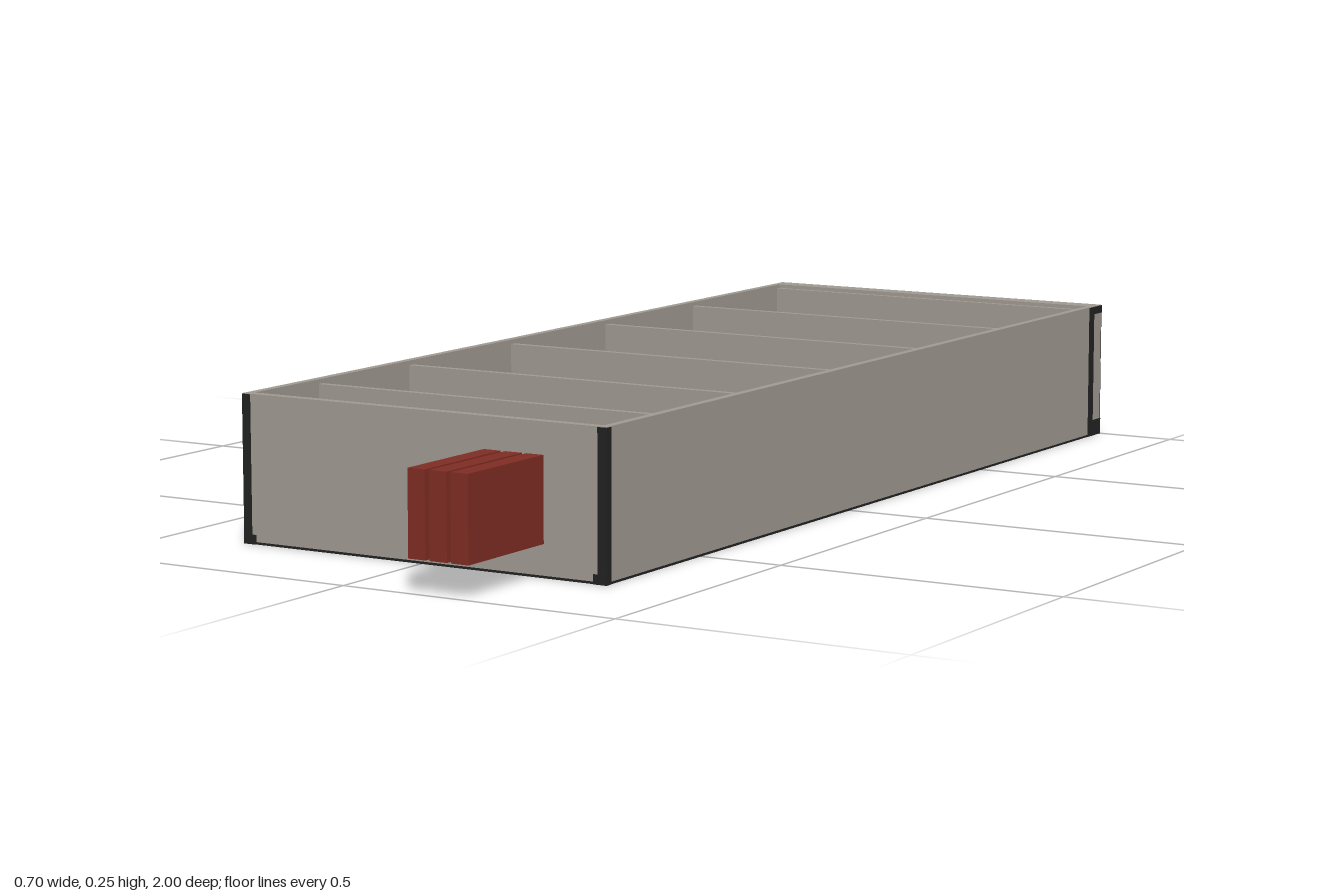
import * as THREE from 'three';

export function createModel() {
  const model = new THREE.Group();
  const grey = new THREE.MeshStandardMaterial({ color: 0xa09a91 });
  grey.name = 'warm grey';
  const dark = new THREE.MeshStandardMaterial({ color: 0x222222 });
  dark.name = 'charcoal';
  const red = new THREE.MeshStandardMaterial({ color: 0x7e2d23 });
  red.name = 'brick red';

  // Box given by its minimum and maximum along each axis
  function box(name, material, x0, x1, y0, y1, z0, z1, parent = model) {
    const mesh = new THREE.Mesh(new THREE.BoxGeometry(x1 - x0, y1 - y0, z1 - z0), material);
    mesh.position.set((x0 + x1) / 2, (y0 + y1) / 2, (z0 + z1) / 2);
    mesh.name = name;
    parent.add(mesh);
    return mesh;
  }

  // Cabinet lying on its back
  box('backPanel', grey, -0.338, 0.338, 0.004, 0.012, -0.96, 0.775);
  box('backPanelUnderside', dark, -0.352, 0.352, 0, 0.004, -1, 0.788);
  for (const s of [-1, 1]) {
    const a = s * 0.338, b = s * 0.352;
    box('sidePanel', grey, Math.min(a, b), Math.max(a, b), 0.004, 0.25, -0.998, 0.787);
    const p = s * 0.336, q = s * 0.352;
    box('frontEdge', dark, Math.min(p, q), Math.max(p, q), 0, 0.249, 0.787, 0.789);
    box('backEdge', dark, Math.min(p, q), Math.max(p, q), 0, 0.249, -1, -0.998);
    const c = s * 0.328;
    box('cornerFoot', dark, Math.min(c, q), Math.max(c, q), 0, 0.016, 0.785, 0.79);
  }
  box('topPanel', grey, -0.338, 0.338, 0.004, 0.25, 0.772, 0.788);

  // Recessed base with a dark kick board
  box('bottomShelf', grey, -0.338, 0.338, 0.012, 0.243, -0.965, -0.952);
  box('kickBoard', dark, -0.338, 0.338, 0.004, 0.236, -0.973, -0.965);
  box('baseRail', grey, -0.338, 0.338, 0.236, 0.25, -0.998, -0.962);
  box('baseRailFace', dark, -0.338, 0.338, 0.234, 0.249, -1, -0.998);
  box('baseRailUnderside', dark, -0.338, 0.338, 0.233, 0.236, -0.998, -0.965);

  // Dark edging on the left side panel
  box('frontTrim', dark, 0.352, 0.353, 0, 0.249, 0.775, 0.789);
  box('baseTrim', dark, 0.352, 0.353, 0, 0.249, -0.966, -0.946);
  box('baseTrimUpper', dark, 0.352, 0.353, 0.235, 0.249, -1, -0.966);
  box('baseTrimLower', dark, 0.352, 0.353, 0, 0.03, -1, -0.966);

  // Shelves
  for (const z of [-0.632, -0.314, 0.005, 0.324, 0.589]) {
    box('shelf', grey, -0.338, 0.338, 0.012, 0.242, z - 0.006, z + 0.006);
  }

  // Items: [material, x0, x1, z0, z1, y1], each on a thin dark round base
  const items = [
    [grey, -0.28, -0.165, -0.935, -0.785, 0.19],
    [grey, -0.035, 0.1, -0.935, -0.775, 0.185],
    [dark, 0.195, 0.33, -0.952, -0.755, 0.19],
    [dark, -0.26, -0.145, -0.608, -0.4, 0.19],
    [grey, -0.075, 0.115, -0.608, -0.395, 0.187],
    [grey, 0.18, 0.3, -0.608, -0.385, 0.19],
    [dark, -0.037, 0.085, -0.29, -0.14, 0.19],
    [grey, 0.18, 0.335, -0.29, -0.125, 0.19],
    [dark, -0.315, -0.125, 0.028, 0.175, 0.19],
    [grey, -0.07, 0.085, 0.028, 0.24, 0.188],
    [dark, 0.165, 0.315, 0.028, 0.23, 0.19],
    [dark, -0.08, 0.1, 0.345, 0.53, 0.187],
    [grey, 0.165, 0.31, 0.345, 0.53, 0.187],
  ];
  for (const [material, x0, x1, z0, z1, y1] of items) {
    box('shelfBox', material, x0, x1, 0.055, y1, z0, z1);
    const base = new THREE.Mesh(new THREE.CylinderGeometry(0.06, 0.06, 0.014, 20), dark);
    base.rotation.x = Math.PI / 2;
    base.scale.x = (x1 - x0) * 0.36 / 0.06;
    base.position.set((x0 + x1) / 2, 0.125, z0 - 0.006);
    base.name = 'itemBase';
    model.add(base);
  }

  // Low dark boxes tucked beside the items
  for (const [x0, x1, z0, z1] of [
    [0.18, 0.334, -0.624, -0.378],
    [-0.334, -0.24, 0.012, 0.115],
    [0.2, 0.334, 0.012, 0.215],
    [0.19, 0.332, 0.332, 0.53],
  ]) box('lowBox', dark, x0, x1, 0.06, 0.13, z0, z1);

  // Three upright books on the top panel, with dark rests between them
  const books = new THREE.Group();
  books.name = 'books';
  model.add(books);
  for (let i = 0; i < 3; i++) {
    const x = 0.14 + i * 0.04;
    box('book', red, x - 0.016, x + 0.016, 0.055, 0.197, 0.789, 1, books);
    if (i < 2) box('bookRest', dark, x + 0.016, x + 0.024, 0.066, 0.182, 0.788, 0.793, books);
  }
  return model;
}
